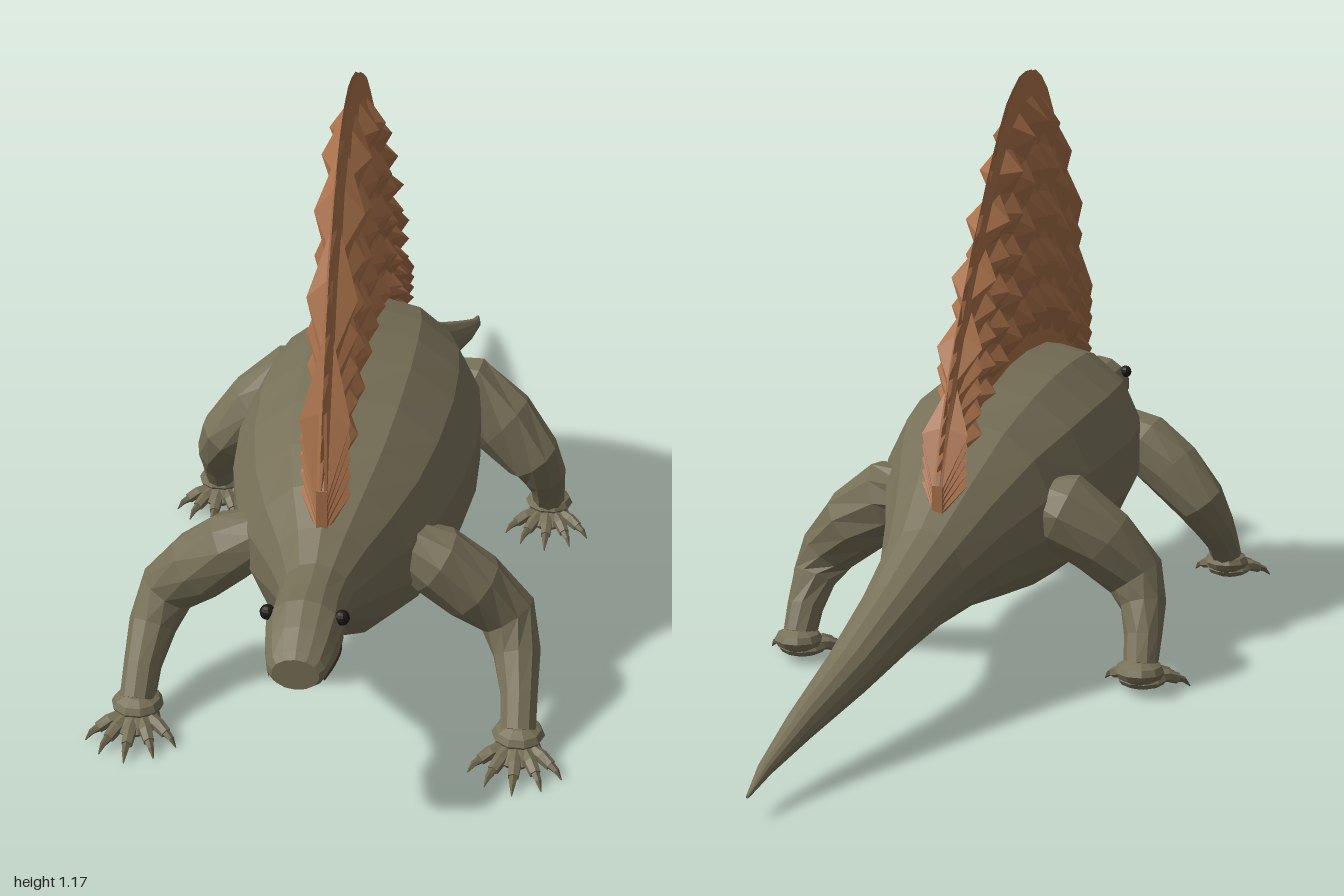
import * as THREE from 'three';

const mat = (color, extra = {}) => new THREE.MeshStandardMaterial({ color, flatShading: true, ...extra });
const skin = mat(0x777058), claw = mat(0x6a634c), dark = mat(0x1c1a17), lip = mat(0x3a3629);
const sailMat = mat(0xa9714a, { side: THREE.DoubleSide });

function addMesh(parent, name, geometry, material) {
  const mesh = new THREE.Mesh(geometry, material);
  mesh.name = name;
  parent.add(mesh);
  return mesh;
}

function buildGeometry(verts, index) {
  const g = new THREE.BufferGeometry();
  g.setAttribute('position', new THREE.Float32BufferAttribute(verts, 3));
  g.setIndex(index);
  g.computeVertexNormals();
  return g;
}

// Skin through elliptical rings [x, y, z, rx, ry]; rings follow the path unless kept upright
function loft(rings, sides, upright = false) {
  const verts = [], index = [], n = rings.length;
  const at = i => new THREE.Vector3(...rings[i].slice(0, 3));
  const zAxis = new THREE.Vector3(0, 0, 1), q = new THREE.Quaternion();
  rings.forEach(([x, y, z, rx, ry = rx], i) => {
    const dir = at(Math.min(i + 1, n - 1)).sub(at(Math.max(i - 1, 0))).normalize();
    if (!upright) q.setFromUnitVectors(zAxis, dir);
    for (let j = 0; j < sides; j++) {
      const a = Math.PI / 2 + j / sides * Math.PI * 2;
      const p = new THREE.Vector3(Math.cos(a) * rx, Math.sin(a) * ry, 0).applyQuaternion(q);
      verts.push(p.x + x, p.y + y, p.z + z);
    }
  });
  verts.push(...at(0).toArray(), ...at(n - 1).toArray());
  for (let j = 0; j < sides; j++) {
    const k = (j + 1) % sides, last = (n - 1) * sides;
    for (let i = 0; i < n - 1; i++) {
      const a = i * sides, b = a + sides;
      index.push(a + j, a + k, b + k, a + j, b + k, b + j);
    }
    index.push(n * sides, k, j, n * sides + 1, last + j, last + k);
  }
  return buildGeometry(verts, index);
}

// Linear interpolation through [z, value] pairs sorted by z
function sample(pairs, z) {
  let i = 1;
  while (i < pairs.length - 1 && pairs[i][0] < z) i++;
  const [z0, v0] = pairs[i - 1], [z1, v1] = pairs[i];
  return v0 + (v1 - v0) * (z - z0) / (z1 - z0);
}

// Body from tail tip to snout: z, top, bottom, half width, sideways offset
const BODY = [
  [-1, 0.053, 0.047, 0.003, 0.12], [-0.92, 0.085, 0.058, 0.014, 0.12],
  [-0.8, 0.14, 0.08, 0.028, 0.102], [-0.65, 0.21, 0.112, 0.045, 0.07],
  [-0.5, 0.29, 0.145, 0.062, 0.042], [-0.37, 0.365, 0.168, 0.085, 0.02],
  [-0.26, 0.445, 0.175, 0.125, 0.008], [-0.14, 0.525, 0.16, 0.175, 0],
  [0, 0.572, 0.14, 0.22, 0], [0.12, 0.592, 0.13, 0.236, 0],
  [0.25, 0.598, 0.127, 0.24, 0], [0.4, 0.59, 0.138, 0.225, 0],
  [0.52, 0.565, 0.157, 0.195, 0], [0.62, 0.532, 0.195, 0.15, 0],
  [0.7, 0.488, 0.25, 0.1, 0], [0.77, 0.455, 0.305, 0.068, 0],
  [0.84, 0.457, 0.335, 0.064, 0], [0.9, 0.464, 0.337, 0.069, 0],
  [0.95, 0.442, 0.339, 0.062, 0], [0.99, 0.418, 0.343, 0.052, 0],
  [1, 0.408, 0.347, 0.042, 0],
];

function addSail(parent) {
  const back = BODY.map(r => [r[0], r[1]]);
  const crest = [[-0.33, 0.44], [-0.3, 0.52], [-0.25, 0.62], [-0.18, 0.74], [-0.1, 0.855],
    [0, 0.98], [0.07, 1.06], [0.14, 1.125], [0.22, 1.17], [0.31, 1.185], [0.4, 1.155],
    [0.47, 1.08], [0.55, 0.96], [0.61, 0.83], [0.66, 0.69], [0.7, 0.56]];
  const cols = 22, rows = 12, sail = new THREE.Group();
  sail.name = 'sail';
  // Each side is a grid whose odd columns swell into rows of pointed scales
  for (const s of [-1, 1]) {
    const verts = [], index = [];
    for (let i = 0; i <= cols; i++) {
      const z = -0.33 + 1.03 * i / cols;
      const low = sample(back, z) - 0.02, high = sample(crest, z);
      for (let r = 0; r <= rows; r++) {
        let x = r === rows ? 0.004 : 0.01;
        if (i % 2 && r > 1 && r < rows - 1) x = r % 2 ? 0.024 : 0.046;
        verts.push(s * x, low + (high - low) * r / rows, z);
        if (i < cols && r < rows) {
          const a = i * (rows + 1) + r, b = a + rows + 1;
          if (s > 0) index.push(a, a + 1, b, a + 1, b + 1, b);
          else index.push(a, b, a + 1, a + 1, b, b + 1);
        }
      }
    }
    addMesh(sail, s > 0 ? 'leftSailFace' : 'rightSailFace', buildGeometry(verts, index), sailMat);
  }
  // Narrow strips close the front and rear edges
  for (const z of [-0.33, 0.7]) {
    const low = sample(back, z) - 0.02, high = sample(crest, z);
    addMesh(sail, 'sailEdge', new THREE.BoxGeometry(0.02, high - low, 0.004), sailMat)
      .position.set(0, (low + high) / 2, z);
  }
  parent.add(sail);
}

function addLeg(parent, name, s, path, foot) {
  const leg = new THREE.Group();
  leg.name = name;
  addMesh(leg, 'limb', loft(path.map(([x, ...rest]) => [s * x, ...rest]), 10), skin);
  // Ankle fold and flattened foot pad
  const [fx, fz] = foot;
  const cuff = addMesh(leg, 'ankle', new THREE.SphereGeometry(0.05, 10, 6), skin);
  cuff.scale.set(1, 0.5, 0.95);
  cuff.position.set(s * fx, 0.052, fz);
  const pad = addMesh(leg, 'foot', new THREE.SphereGeometry(0.05, 10, 6), skin);
  pad.scale.set(1, 0.38, 1);
  pad.position.set(s * fx, 0.03, fz + 0.025);
  // Five splayed toes, each ending in a claw
  for (let t = -2; t <= 2; t++) {
    const a = t * 0.46, len = 0.125 - Math.abs(t) * 0.008;
    const ring = (d, y, r) => [s * fx + Math.sin(a) * d, y, fz + 0.005 + Math.cos(a) * d, r];
    addMesh(leg, 'toe', loft([ring(0.02, 0.035, 0.015), ring(len * 0.55, 0.034, 0.013), ring(len * 0.75, 0.026, 0.011)], 6), skin);
    addMesh(leg, 'claw', loft([ring(len * 0.72, 0.027, 0.009), ring(len * 0.88, 0.021, 0.006), ring(len, 0.007, 0.001)], 5), claw);
  }
  parent.add(leg);
}

export function createModel() {
  const model = new THREE.Group();
  model.name = 'sailBackedReptile';

  const rings = BODY.map(([z, top, bottom, w, x]) => [x, (top + bottom) / 2, z, w, (top - bottom) / 2]);
  addMesh(model, 'body', loft(rings, 14, true), skin);
  addSail(model);

  const frontPath = [[0.13, 0.375, 0.56, 0.05], [0.19, 0.345, 0.56, 0.068], [0.26, 0.288, 0.552, 0.068],
    [0.325, 0.222, 0.54, 0.057], [0.347, 0.165, 0.58, 0.046], [0.357, 0.11, 0.635, 0.036], [0.36, 0.06, 0.675, 0.034]];
  const rearPath = [[0.11, 0.355, -0.09, 0.06], [0.18, 0.345, -0.088, 0.08], [0.26, 0.285, -0.075, 0.074],
    [0.325, 0.215, -0.06, 0.06], [0.347, 0.165, -0.085, 0.047], [0.355, 0.11, -0.12, 0.037], [0.357, 0.06, -0.147, 0.034]];
  for (const [side, s] of [['left', 1], ['right', -1]]) {
    addLeg(model, side + 'FrontLeg', s, frontPath, [0.36, 0.675]);
    addLeg(model, side + 'RearLeg', s, rearPath, [0.357, -0.155]);
    addMesh(model, side + 'Eye', new THREE.SphereGeometry(0.014, 10, 8), dark).position.set(s * 0.065, 0.43, 0.896);
    // Mouth line along the jaw
    const mouth = new THREE.CatmullRomCurve3([[0.056, 0.372, 0.865], [0.061, 0.365, 0.9],
      [0.055, 0.364, 0.95], [0.045, 0.364, 0.99]].map(([x, y, z]) => new THREE.Vector3(s * x, y, z)));
    addMesh(model, side + 'Mouth', new THREE.TubeGeometry(mouth, 8, 0.004, 5), lip);
  }
  return model;
}
